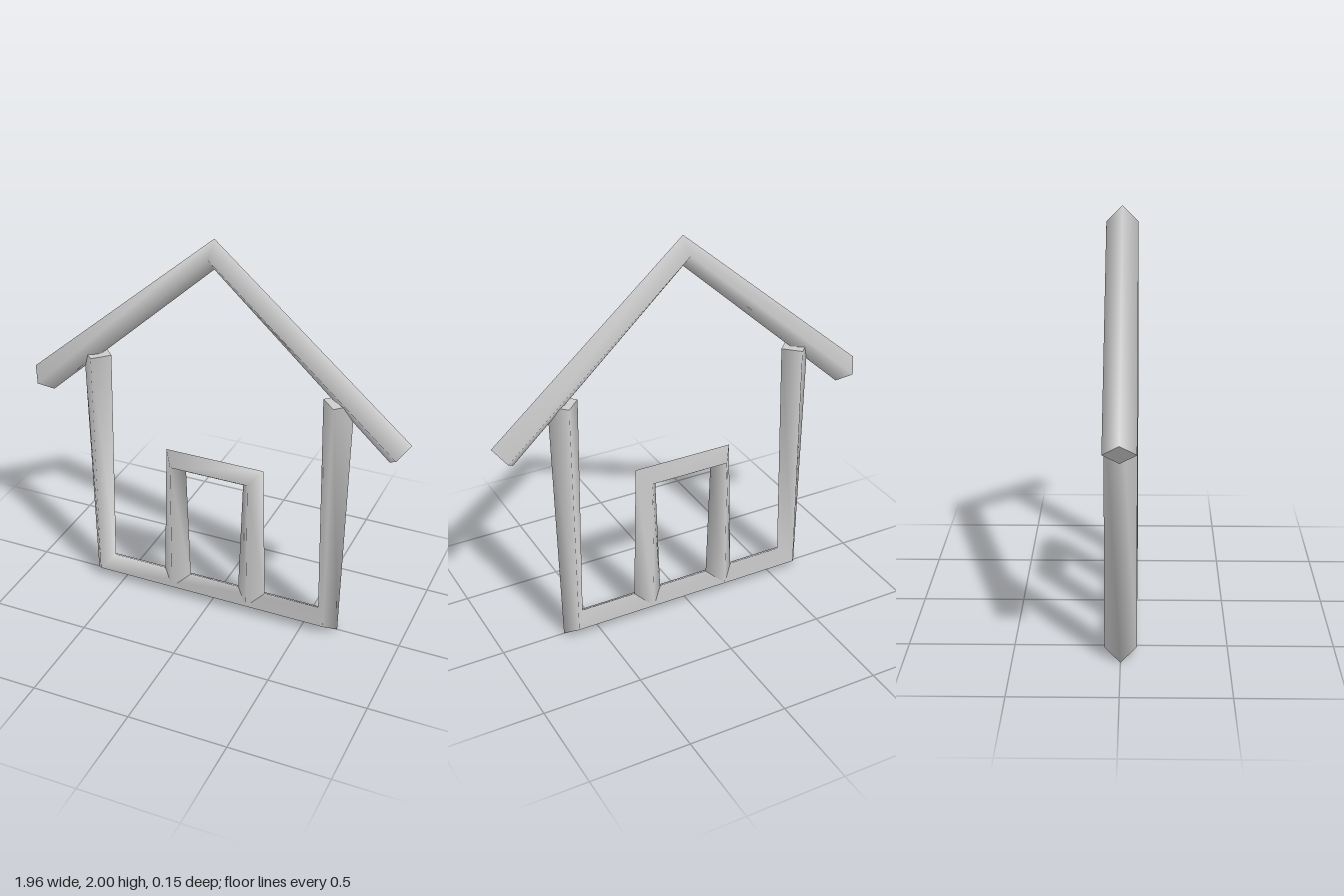
import * as THREE from 'three';

const RADIUS = 0.075;

// Sweeps a four-sided bar along a flat path, smooth along its length, with flat end caps.
function barGeometry(path) {
  const pts = path.map(([x, y]) => new THREE.Vector2(x, y));
  const last = pts.length - 1;
  const positions = [], normals = [], index = [];
  const rings = pts.map((p, i) => {
    const before = pts[Math.max(i - 1, 0)], after = pts[Math.min(i + 1, last)];
    const t = new THREE.Vector2();
    if (i > 0) t.add(p.clone().sub(before).normalize());
    if (i < last) t.add(after.clone().sub(p).normalize());
    t.normalize();
    const corners = [0, 1, 2, 3].map((j) => {
      const c = Math.cos(j * Math.PI / 2), s = Math.sin(j * Math.PI / 2);
      return new THREE.Vector3(-t.y * c, t.x * c, s);
    });
    return { p, t, corners };
  });
  const addRing = ({ p, corners }, normal) => corners.forEach((n) => {
    positions.push(p.x + n.x * RADIUS, p.y + n.y * RADIUS, n.z * RADIUS);
    normals.push(...(normal || n.toArray()));
  });

  // sides
  rings.forEach((ring) => addRing(ring));
  for (let i = 0; i < last; i++) {
    for (let j = 0; j < 4; j++) {
      const a = i * 4 + j, b = i * 4 + (j + 1) % 4;
      index.push(a, b, a + 4, b, b + 4, a + 4);
    }
  }
  // end caps
  const s = rings.length * 4, e = s + 4;
  addRing(rings[0], [-rings[0].t.x, -rings[0].t.y, 0]);
  addRing(rings[last], [rings[last].t.x, rings[last].t.y, 0]);
  index.push(s, s + 2, s + 1, s, s + 3, s + 2, e, e + 1, e + 2, e, e + 2, e + 3);

  const geometry = new THREE.BufferGeometry();
  geometry.setAttribute('position', new THREE.Float32BufferAttribute(positions, 3));
  geometry.setAttribute('normal', new THREE.Float32BufferAttribute(normals, 3));
  geometry.setIndex(index);
  return geometry;
}

export function createModel() {
  const group = new THREE.Group();
  group.name = 'houseOutline';
  const grey = new THREE.MeshStandardMaterial({ color: 0xcccccc });
  grey.name = 'light grey';

  const parts = {
    roof: [[-0.932, 1.097], [0, 1.925], [0.932, 1.097]],
    wallsAndFloor: [[-0.623, 1.3], [-0.623, 0.053], [0.623, 0.053], [0.623, 1.3]],
    doorFrame: [[-0.207, 0.053], [-0.207, 0.782], [0.207, 0.782], [0.207, 0.053]],
  };
  for (const [name, path] of Object.entries(parts)) {
    const mesh = new THREE.Mesh(barGeometry(path), grey);
    mesh.name = name;
    group.add(mesh);
  }
  return group;
}
